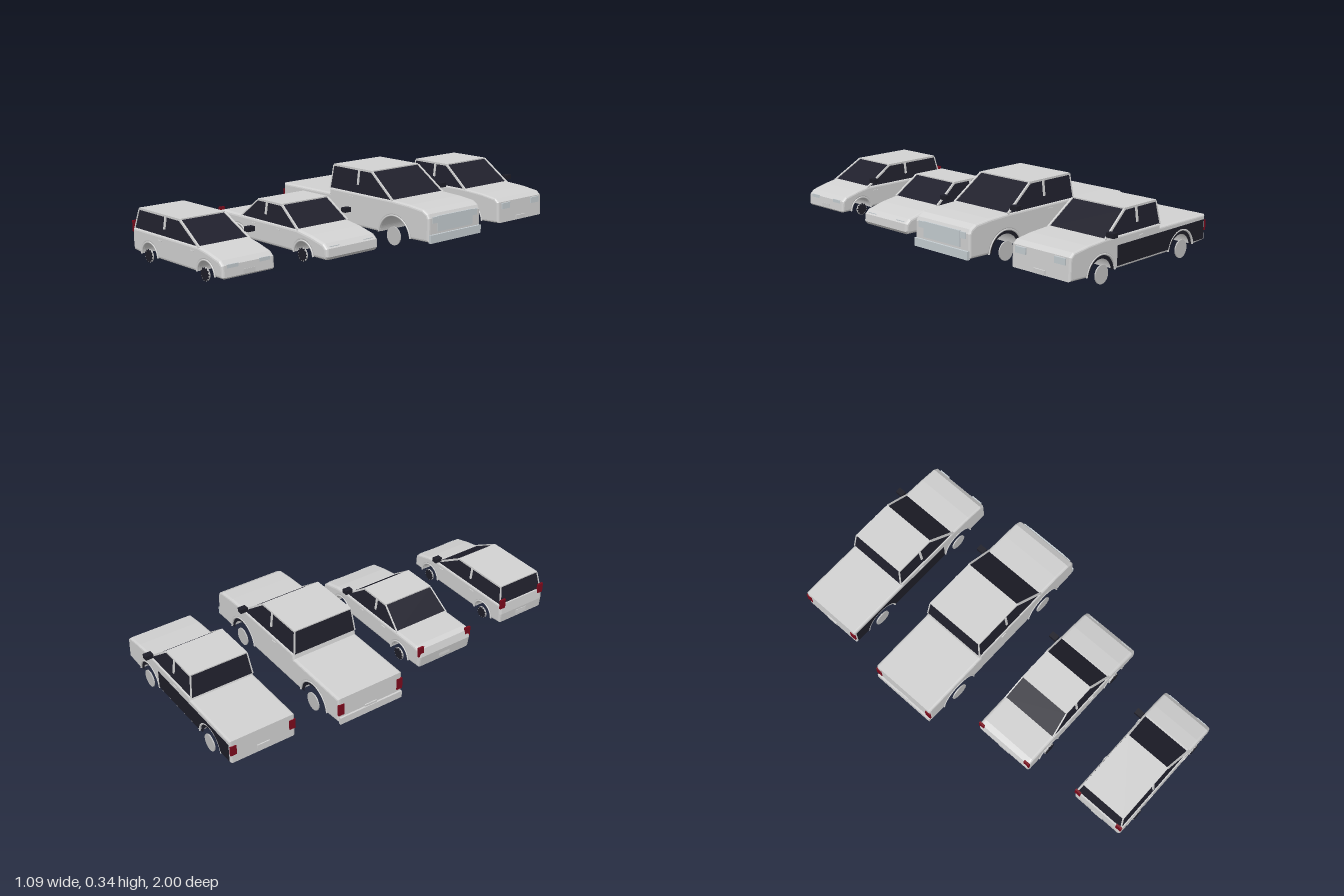
import * as THREE from 'three';
import { ConvexGeometry } from 'three/addons/geometries/ConvexGeometry.js';

const mat = (name, color, side = THREE.FrontSide) => {
  const m = new THREE.MeshStandardMaterial({ color, side });
  m.name = name;
  return m;
};

export function createModel() {
  const paint = mat('silver paint', 0xd2d2d2);
  const glass = mat('dark glass', 0x20202c);
  const trim = mat('black trim', 0x1e1e28, THREE.DoubleSide);
  const red = mat('tail light red', 0x7c0a1c);
  const lens = mat('pale lens', 0xc6ced2);
  const rim = mat('wheel silver', 0xc0c0c0);

  const add = (group, name, geometry, material, x = 0, y = 0, z = 0) => {
    const mesh = new THREE.Mesh(geometry, material);
    mesh.name = name;
    mesh.position.set(x, y, z);
    group.add(mesh);
    return mesh;
  };
  const box = (group, name, material, sx, sy, sz, x, y, z) =>
    add(group, name, new THREE.BoxGeometry(sx, sy, sz), material, x, y, z);

  // square bar between two points, used for window pillars
  const bar = (group, name, a, b, t, material) => {
    const from = new THREE.Vector3(...a), to = new THREE.Vector3(...b);
    const mesh = box(group, name, material, t, from.distanceTo(to), t, 0, 0, 0);
    mesh.position.copy(from).add(to).multiplyScalar(0.5);
    mesh.quaternion.setFromUnitVectors(new THREE.Vector3(0, 1, 0), to.sub(from).normalize());
  };

  // closed outline: points over the top, then back along the sill past the arches
  const outline = (top, sill, wheels, wy, r) => {
    const s = new THREE.Shape();
    top.forEach(([x, y], i) => (i ? s.lineTo(x, y) : s.moveTo(x, y)));
    const a = Math.asin((sill - wy) / r);
    wheels.forEach(x => {
      s.lineTo(x + r * Math.cos(a), sill);
      s.absarc(x, wy, r, a, Math.PI - a, false);
    });
    s.closePath();
    return s;
  };

  // toothed wheel cover
  const gearShape = r => {
    const s = new THREE.Shape();
    for (let i = 0; i < 48; i++) {
      const a = (i / 48) * Math.PI * 2, q = i % 4 < 2 ? r : r * 0.8;
      if (i) s.lineTo(q * Math.cos(a), q * Math.sin(a));
      else s.moveTo(q, 0);
    }
    return s;
  };

  function buildCar(c) {
    const car = new THREE.Group();
    car.name = c.name;
    car.position.z = c.z;
    const hw = c.width / 2, bevel = c.bevel;

    // body with wheel tunnels
    const body = new THREE.ExtrudeGeometry(outline(c.top, c.sill, c.wheels, c.wheelY, c.arch), {
      depth: c.width - 2 * bevel, bevelEnabled: true, bevelThickness: bevel,
      bevelSize: bevel, bevelOffset: -bevel, bevelSegments: 3, curveSegments: 20,
    });
    add(car, 'body', body, paint, 0, 0, -hw + bevel);

    // glass cabin: base and roof corners
    const [b0, b1, by] = c.base, [r0, r1, ry] = c.roof;
    const bw = hw - 0.006, rw = hw - 0.02;
    const corners = [];
    for (const s of [-1, 1]) {
      corners.push([b0, by, s * bw], [b1, by, s * bw], [r0, ry - 0.006, s * rw], [r1, ry - 0.006, s * rw]);
    }
    add(car, 'cabinGlass', new ConvexGeometry(corners.map(p => new THREE.Vector3(...p))), glass);
    box(car, 'roof', paint, r1 - r0, 0.01, 2 * rw + 0.004, (r0 + r1) / 2, ry - 0.005, 0);
    for (const s of [-1, 1]) {
      bar(car, 'windshieldPillar', [b1, by, s * bw], [r1, ry - 0.006, s * rw], 0.009, paint);
      bar(car, 'rearPillar', [b0, by, s * bw], [r0, ry - 0.006, s * rw], 0.006, paint);
      const k = 0.35;
      bar(car, 'doorPillar', [c.pillar, by + k * (ry - by), s * (bw - k * (bw - rw))],
        [c.pillar, ry - 0.006, s * rw], 0.011, paint);
    }

    // wheels and arch lips
    for (const s of [-1, 1]) for (const x of c.wheels) {
      const wheel = new THREE.Group();
      wheel.name = 'wheel';
      wheel.position.set(x, c.wheelR + 0.003, s * (hw - 0.001));
      const disc = add(wheel, 'wheelDisc', new THREE.CylinderGeometry(c.wheelR, c.wheelR, 0.006, 32), rim);
      disc.rotation.x = Math.PI / 2;
      if (!c.truck) {
        const gear = new THREE.ExtrudeGeometry(gearShape(c.wheelR), { depth: 0.004, bevelEnabled: false });
        add(wheel, 'wheelCover', gear, trim, 0, 0, s > 0 ? 0.002 : -0.006);
      }
      car.add(wheel);
      const a = Math.asin((c.sill - c.wheelY) / c.arch);
      const lip = add(car, 'archLip', new THREE.TorusGeometry(c.arch + 0.003, 0.005, 8, 28, Math.PI - 2 * a),
        paint, x, c.wheelY, s * (hw - 0.003));
      lip.rotation.z = a;
      if (c.truck && s < 0) {
        add(car, 'archLiner', new THREE.RingGeometry(c.arch - 0.018, c.arch, 28, 1, a, Math.PI - 2 * a),
          trim, x, c.wheelY, -hw + 0.008);
      }
    }

    // lamps, plates and handles
    const [tail, nose] = [c.top[0][0], c.top[c.top.length - 1][0]];
    const [ly, lh] = c.lamp;
    for (const s of [-1, 1]) {
      box(car, 'tailLight', red, c.truck ? 0.008 : 0.01, lh, 0.032, tail, ly, s * (hw - 0.015));
      box(car, 'headlight', lens, 0.012, c.headH, 0.06, nose - 0.003, c.headY, s * (hw - 0.055));
      for (const x of c.handles) {
        box(car, 'doorHandle', paint, 0.03, 0.005, 0.006, x, by - 0.02, s * (hw + 0.001));
      }
    }
    box(car, 'frontPlate', paint, 0.008, 0.022, 0.065, nose + 0.002, c.sill + 0.018, 0);
    box(car, 'rearPlate', paint, 0.008, 0.022, 0.065, tail - 0.002, c.sill + 0.035, 0);

    // single door mirror
    box(car, 'mirror', trim, 0.03, 0.022, 0.04, c.mirror[0], c.mirror[1], -hw - 0.016);
    return { car, hw };
  }

  const model = new THREE.Group();
  model.name = 'fourCars';

  // hatchback
  model.add(buildCar({
    name: 'hatchback', z: 0.845, width: 0.284, bevel: 0.012, sill: 0.033,
    top: [[-0.345, 0.04], [-0.35, 0.09], [-0.345, 0.146], [0.17, 0.146], [0.24, 0.133], [0.32, 0.112],
      [0.342, 0.092], [0.346, 0.04], [0.34, 0.033]],
    wheels: [0.22, -0.215], wheelY: 0.03, wheelR: 0.031, arch: 0.063,
    base: [-0.338, 0.172, 0.14], roof: [-0.318, 0.01, 0.24], pillar: -0.1,
    lamp: [0.152, 0.052], headY: 0.085, headH: 0.02, handles: [-0.125, 0.125], mirror: [0.145, 0.176],
  }).car);

  // sedan
  model.add(buildCar({
    name: 'sedan', z: 0.295, width: 0.32, bevel: 0.014, sill: 0.035,
    top: [[-0.4, 0.04], [-0.41, 0.1], [-0.4, 0.14], [-0.37, 0.148], [0.2, 0.146], [0.29, 0.132], [0.38, 0.11],
      [0.405, 0.088], [0.408, 0.05], [0.395, 0.035]],
    wheels: [0.24, -0.25], wheelY: 0.03, wheelR: 0.032, arch: 0.066,
    base: [-0.225, 0.2, 0.142], roof: [-0.11, 0.07, 0.242], pillar: -0.04,
    lamp: [0.13, 0.052], headY: 0.086, headH: 0.022, handles: [-0.12, 0.06], mirror: [0.165, 0.185],
  }).car);

  // large pickup
  const large = buildCar({
    name: 'largePickup', truck: true, z: -0.25, width: 0.36, bevel: 0.012, sill: 0.052,
    top: [[-0.535, 0.06], [-0.535, 0.192], [-0.17, 0.194], [-0.165, 0.222], [0.28, 0.222], [0.4, 0.217],
      [0.49, 0.208], [0.522, 0.19], [0.532, 0.17], [0.532, 0.055]],
    wheels: [0.3, -0.33], wheelY: 0.04, wheelR: 0.046, arch: 0.106,
    base: [-0.168, 0.285, 0.218], roof: [-0.155, 0.125, 0.342], pillar: 0.035,
    lamp: [0.13, 0.06], headY: 0.16, headH: 0.03, handles: [0], mirror: [0.255, 0.246],
  });
  box(large.car, 'grille', lens, 0.008, 0.075, 0.24, 0.532, 0.14, 0);
  box(large.car, 'frontBumper', lens, 0.016, 0.04, 0.35, 0.535, 0.072, 0);
  box(large.car, 'rearBumper', paint, 0.014, 0.036, 0.35, -0.538, 0.07, 0);
  model.add(large.car);

  // small pickup with dark side panels
  const smallWheels = [0.27, -0.3];
  const small = buildCar({
    name: 'smallPickup', truck: true, z: -0.8, width: 0.336, bevel: 0.01, sill: 0.05,
    top: [[-0.485, 0.055], [-0.485, 0.178], [-0.14, 0.18], [-0.135, 0.197], [0.245, 0.197], [0.36, 0.19],
      [0.45, 0.178], [0.472, 0.16], [0.477, 0.055]],
    wheels: smallWheels, wheelY: 0.04, wheelR: 0.043, arch: 0.092,
    base: [-0.142, 0.245, 0.192], roof: [-0.125, 0.1, 0.307], pillar: 0.02,
    lamp: [0.125, 0.05], headY: 0.14, headH: 0.03, handles: [0], mirror: [0.225, 0.215],
  });
  const panel = outline([[-0.473, 0.062], [-0.473, 0.155], [0.165, 0.155], [0.165, 0.062]],
    0.062, [smallWheels[1]], 0.04, 0.1);
  for (const s of [-1, 1]) {
    add(small.car, 'sidePanel', new THREE.ExtrudeGeometry(panel, { depth: 0.004, bevelEnabled: false }),
      trim, 0, 0, s * small.hw - 0.002);
  }
  model.add(small.car);

  return model;
}
